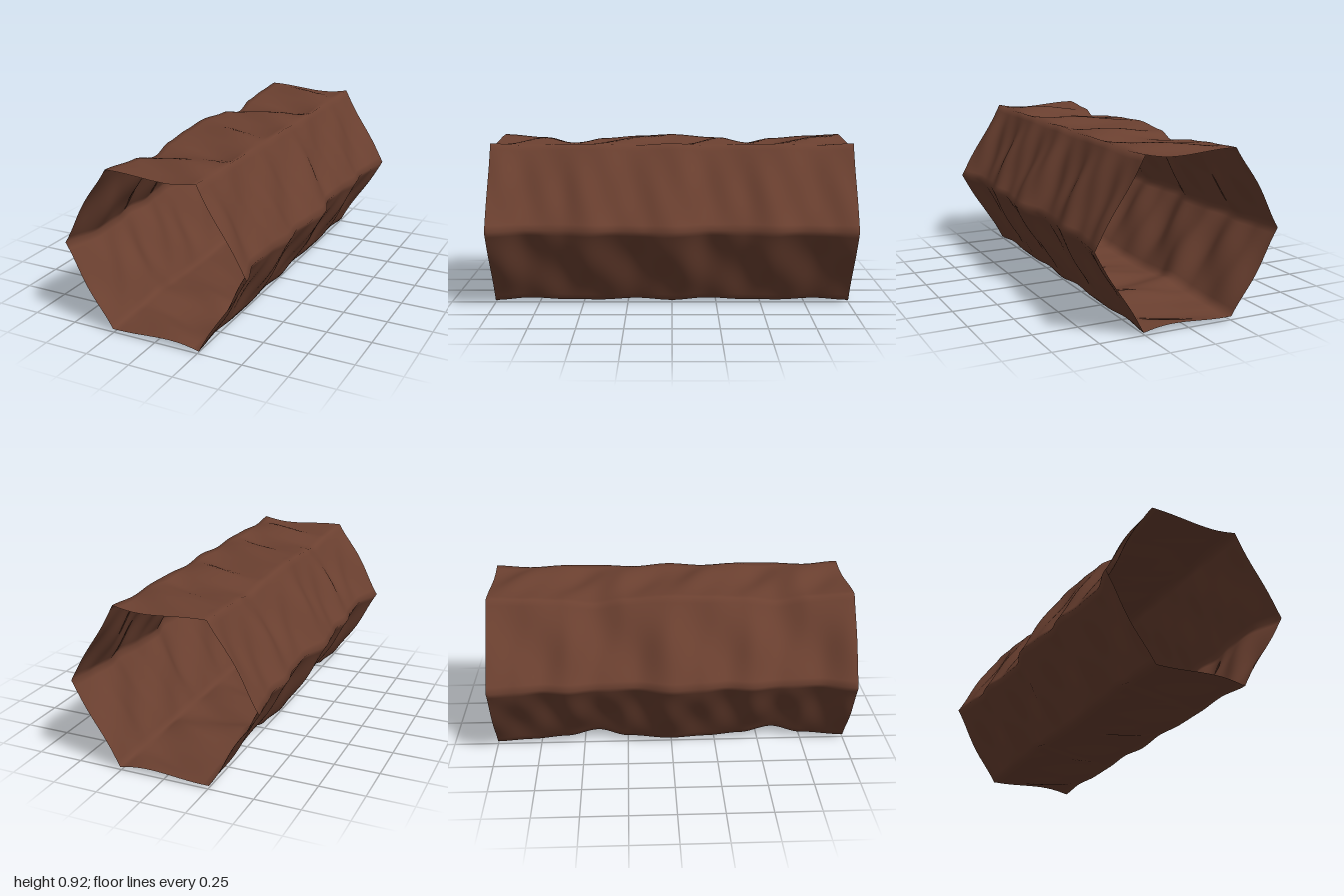
import * as THREE from 'three';

const CENTER_Y = 0.468;
const STEPS_T = 14; // across each panel
const STEPS_Z = 112; // along the tunnel
const TAU = Math.PI * 2;

// Corner radius along z, repeating every unit: [z, radius] keys
const SIDE = [[0, 0.525], [0.15, 0.505], [0.3, 0.485], [0.43, 0.506], [0.6, 0.476], [0.8, 0.47], [1, 0.525]];
const UPPER_LEFT = [[0, 0.515], [0.2, 0.502], [0.4, 0.512], [0.6, 0.51], [0.8, 0.5], [1, 0.515]];
const UPPER_RIGHT = [[0, 0.51], [0.2, 0.5], [0.4, 0.485], [0.58, 0.452], [0.75, 0.49], [1, 0.51]];

// Smooth interpolation between keys
function radiusAt(keys, z) {
  const u = z - Math.floor(z);
  let i = 0;
  while (i < keys.length - 2 && u > keys[i + 1][0]) i++;
  const [a, ra] = keys[i], [b, rb] = keys[i + 1];
  return THREE.MathUtils.lerp(ra, rb, THREE.MathUtils.smoothstep(u, a, b));
}

// Rocky relief, pushed out along a panel's normal; zero at the corners
const bump = [
  (t, z) => 0.011 * Math.sin(TAU * (2 * z + 0.6 * t + 0.1)) + 0.006 * Math.sin(TAU * (5 * z - 0.5 * t)),
  (t, z) => -0.042 * (1 - t) * Math.cos(TAU * (2 * z + 0.4 * (t - 0.22))) + 0.004 * Math.sin(TAU * (5 * z + t)),
  (t, z) => 0.011 * Math.cos(TAU * (2 * z - 0.5 * t + 0.3)) + 0.006 * Math.sin(TAU * (4 * z + 0.7 * t)),
];

const CORNERS = [SIDE, UPPER_LEFT, UPPER_RIGHT, SIDE];

// Point on one of the three upper panels
function panelPoint(k, t, z) {
  const a = k * Math.PI / 3, b = a + Math.PI / 3, n = a + Math.PI / 6;
  const ra = radiusAt(CORNERS[k], z), rb = radiusAt(CORNERS[k + 1], z);
  const d = bump[k](t, z) * Math.sin(Math.PI * t);
  return [
    THREE.MathUtils.lerp(ra * Math.cos(a), rb * Math.cos(b), t) + d * Math.cos(n),
    THREE.MathUtils.lerp(ra * Math.sin(a), rb * Math.sin(b), t) + d * Math.sin(n),
  ];
}

// Closed cross-section: the lower half mirrors the upper one
function ringPoint(i, z) {
  const half = 3 * STEPS_T;
  const j = i <= half ? i : 2 * half - i;
  const k = Math.min(2, Math.floor(j / STEPS_T));
  const [x, y] = panelPoint(k, j / STEPS_T - k, z);
  return [x, CENTER_Y + (i <= half ? y : -y), z];
}

export function createModel() {
  const group = new THREE.Group();
  group.name = 'hexagonalTunnel';

  const ring = 6 * STEPS_T;
  const positions = [], indices = [];
  for (let s = 0; s <= STEPS_Z; s++) {
    const z = -1 + 2 * s / STEPS_Z;
    for (let i = 0; i < ring; i++) positions.push(...ringPoint(i, z));
  }
  for (let s = 0; s < STEPS_Z; s++) {
    for (let i = 0; i < ring; i++) {
      const a = s * ring + i, b = s * ring + (i + 1) % ring;
      indices.push(a, b, b + ring, a, b + ring, a + ring);
    }
  }
  const geometry = new THREE.BufferGeometry();
  geometry.setAttribute('position', new THREE.Float32BufferAttribute(positions, 3));
  geometry.setIndex(indices);
  geometry.computeVertexNormals();

  // Thin open shell
  const material = new THREE.MeshStandardMaterial({ color: 0x6b4030, side: THREE.DoubleSide });
  const wall = new THREE.Mesh(geometry, material);
  wall.name = 'tunnelWall';
  group.add(wall);
  return group;
}
